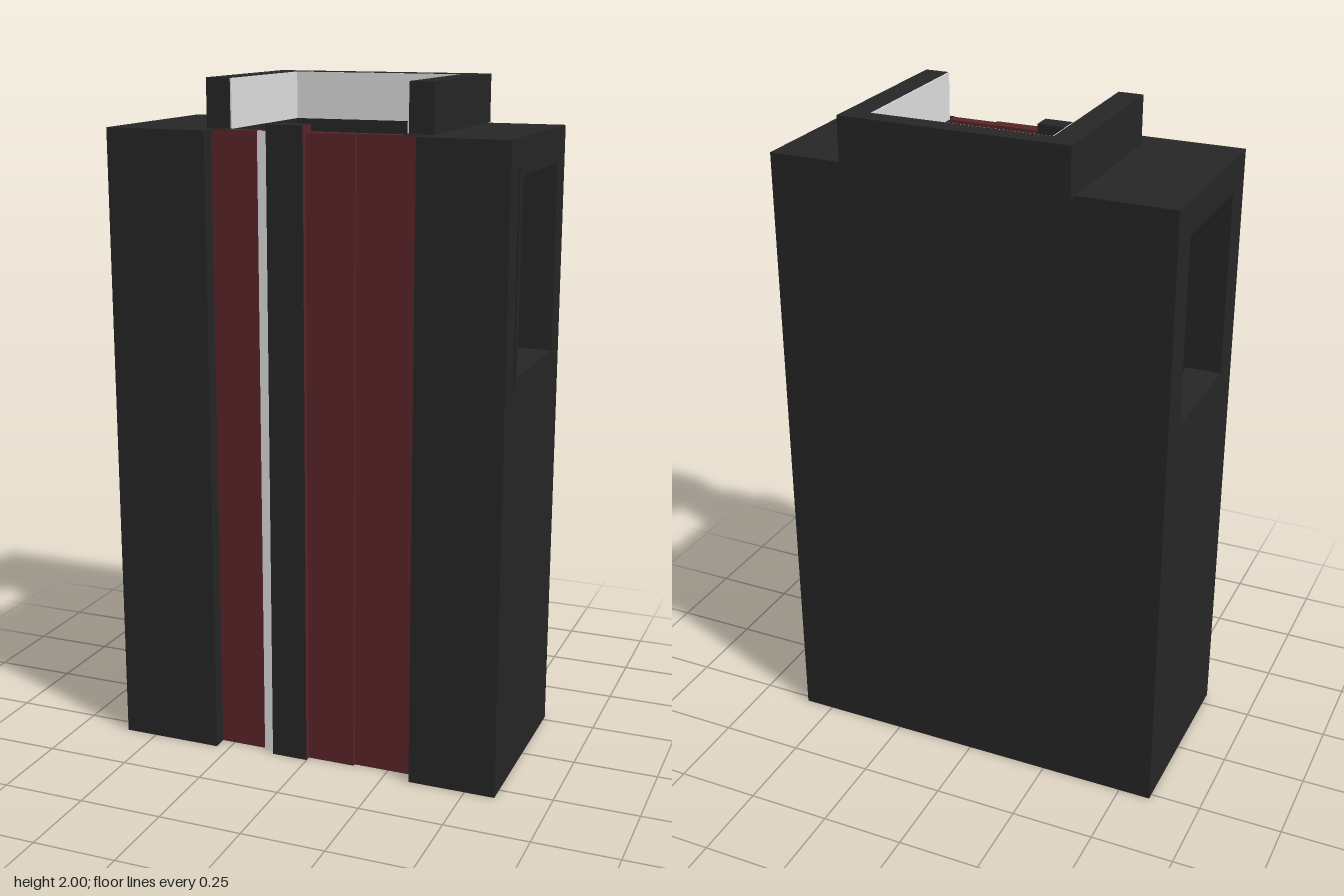
import * as THREE from 'three';

export function createModel() {
  const model = new THREE.Group();
  model.name = 'hollowJacket';

  const material = (name, color) => {
    const m = new THREE.MeshStandardMaterial({ color });
    m.name = name;
    return m;
  };
  const dark = material('charcoal cloth', 0x262626);
  const red = material('dark red cloth', 0x5a2528);
  const light = material('pale lining', 0xdedede);

  // Box given by its limits on each axis
  const box = (name, mat, [x0, x1], [y0, y1], [z0, z1]) => {
    const mesh = new THREE.Mesh(new THREE.BoxGeometry(x1 - x0, y1 - y0, z1 - z0), mat);
    mesh.position.set((x0 + x1) / 2, (y0 + y1) / 2, (z0 + z1) / 2);
    mesh.name = name;
    model.add(mesh);
    return mesh;
  };

  // Upright plate in the zy plane with a rectangular hole
  const rect = (path, [z0, z1], [y0, y1]) =>
    path.moveTo(z0, y0).lineTo(z1, y0).lineTo(z1, y1).lineTo(z0, y1).closePath();
  const holedPlate = (name, [x0, x1], zs, ys, holeZ, holeY) => {
    const shape = rect(new THREE.Shape(), zs, ys);
    shape.holes.push(rect(new THREE.Path(), holeZ, holeY));
    const geo = new THREE.ExtrudeGeometry(shape, { depth: x1 - x0, bevelEnabled: false });
    geo.rotateY(-Math.PI / 2);
    const mesh = new THREE.Mesh(geo, dark);
    mesh.position.x = x1;
    mesh.name = name;
    model.add(mesh);
  };

  const H = 1.86, T = 0.03;
  const L = 0.59, R = -0.597;   // outer sides
  const openL = 0.33, openR = -0.29; // edges of the front opening
  const neckL = 0.28, neckR = -0.24; // edges of the neck hole

  // Body shell, open at the bottom
  box('backPanel', dark, [R, L], [0, H], [-0.27, -0.24]);
  const outerHole = [[-0.195, 0.225], [1.185, 1.785]];
  const armHole = [[-0.17, 0.2], [1.215, 1.76]];
  holedPlate('leftSide', [L - T, L], [-0.24, 0.3], [0, H], ...outerHole);
  holedPlate('rightSide', [R, R + T], [-0.24, 0.3], [0, H], ...outerHole);

  // Arm hole frames reaching inwards
  holedPlate('leftArmFrame', [0.49, 0.595], ...outerHole, ...armHole);
  holedPlate('rightArmFrame', [-0.597, -0.492], ...outerHole, ...armHole);

  // Front lapel panels and their inner returns
  box('leftFrontPanel', dark, [openL, L - T], [0, H], [0.27, 0.3]);
  box('rightFrontPanel', dark, [R + T, openR], [0, H], [0.27, 0.3]);
  box('leftFrontReturn', dark, [openL, openL + T], [0, H - T], [0.225, 0.27]);
  box('rightFrontReturn', dark, [openR - T, openR], [0, H - T], [0.225, 0.27]);

  // Shoulders around the neck hole
  box('leftShoulder', dark, [openL, L - T], [H - T, H], [-0.24, 0.27]);
  box('rightShoulder', dark, [R + T, openR], [H - T, H], [-0.24, 0.27]);
  box('leftNeckEdge', dark, [neckL, openL], [H - T, H], [-0.24, 0.225]);
  box('rightNeckEdge', dark, [openR, neckR], [H - T, H], [-0.24, 0.225]);
  box('leftNeckCap', dark, [neckL, openL], [H, H + 0.002], [0.225, 0.254]);
  box('rightNeckCap', dark, [openR, neckR], [H, H + 0.002], [0.225, 0.254]);

  // Shirt front with layered strips
  box('shirtFront', red, [openR, openL], [0, H], [0.225, 0.255]);
  box('shirtOverlap', red, [0, 0.145], [0, H], [0.255, 0.265]);
  box('paleStrip', light, [-0.145, -0.11], [0, H], [0.255, 0.264]);
  // Material order: +x, -x, +y, -y, +z, -z
  box('placket', [red, dark, dark, dark, dark, dark], [-0.11, 0], [0, 1.88], [0.225, 0.283]);

  // Standing collar, open at the front
  box('collarBack', dark, [-0.317, 0.354], [H, 2], [-0.303, -0.245]);
  box('leftCollar', dark, [neckL + 0.004, 0.354], [H, 2], [-0.245, 0.225]);
  box('rightCollar', dark, [-0.317, neckR - 0.004], [H, 2], [-0.245, 0.225]);

  // Pale collar lining
  const lining = [H, 1.999];
  box('collarBackLining', light, [neckR, neckL], lining, [-0.245, -0.241]);
  box('leftCollarLining', light, [neckL, neckL + 0.004], lining, [-0.245, 0.224]);
  box('rightCollarLining', light, [neckR - 0.004, neckR], lining, [-0.245, 0.224]);

  return model;
}
